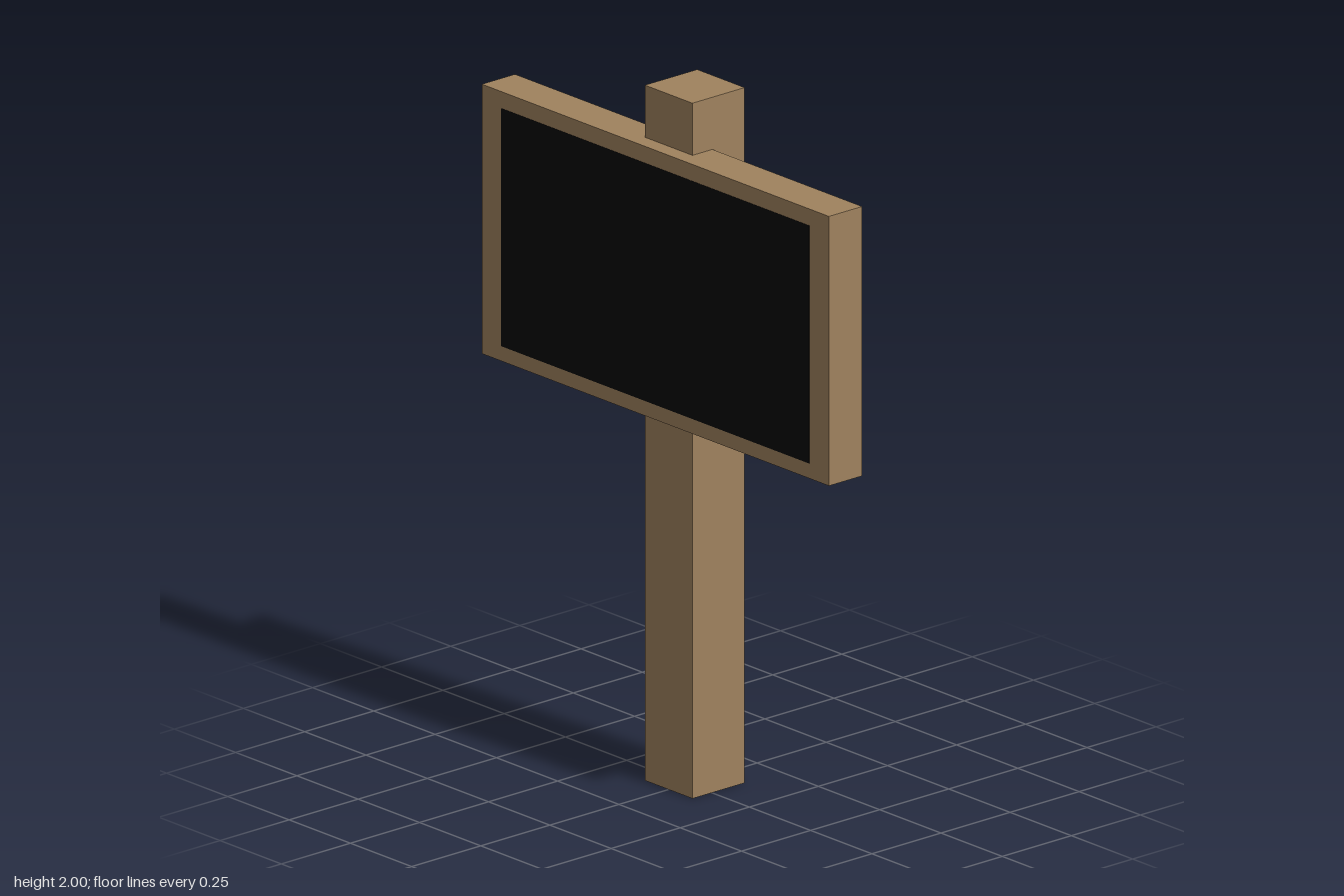
import * as THREE from 'three';

const wood = new THREE.MeshStandardMaterial({ color: 0x9f825e });
const black = new THREE.MeshStandardMaterial({ color: 0x080808 });

// Box given by its minimum and maximum corners
function block(name, min, max, material) {
  const size = max.map((v, i) => v - min[i]);
  const mesh = new THREE.Mesh(new THREE.BoxGeometry(...size), material);
  mesh.position.set(...max.map((v, i) => (v + min[i]) / 2));
  mesh.name = name;
  return mesh;
}

export function createModel() {
  const group = new THREE.Group();
  group.name = 'signpost';

  // Square post standing on the ground
  group.add(block('post', [-0.07, 0, -0.097], [0.119, 2, 0.097], wood));

  // Wide board let into the post
  group.add(block('board', [-0.118, 1.075, -0.708], [0.002, 1.85, 0.708], wood));

  // Thin dark writing panel on the board's outer face
  group.add(block('panel', [-0.119, 1.118, -0.628], [-0.112, 1.802, 0.628], black));

  return group;
}
